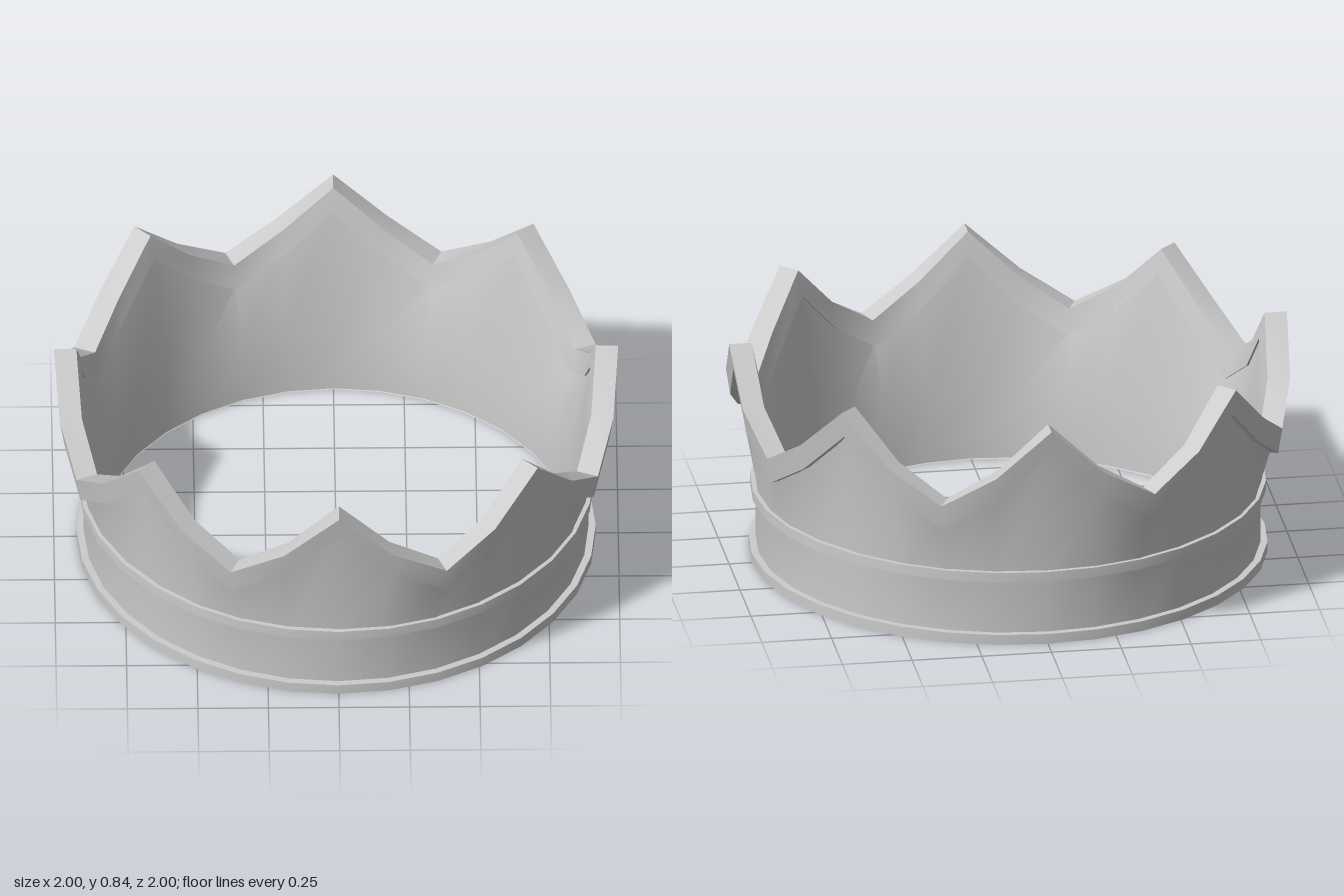
import * as THREE from 'three';
import { toCreasedNormals } from 'three/addons/utils/BufferGeometryUtils.js';

const SEGMENTS = 32; // four per crown point: peak, slope, valley, slope
const RIM_TOP = [0.84, 0.665, 0.55, 0.665];
const RIM_DEPTH = 0.095;

// Sweeps a closed profile around y; each entry is [radius, height],
// where a height may be a function of the segment index.
function ring(name, profile, material) {
  const n = profile.length;
  const positions = [];
  const index = [];
  for (let i = 0; i < SEGMENTS; i++) {
    const a = (i / SEGMENTS) * Math.PI * 2;
    for (const [r, h] of profile) {
      const y = typeof h === 'function' ? h(i) : h;
      positions.push(r * Math.sin(a), y, r * Math.cos(a));
    }
    const next = (i + 1) % SEGMENTS;
    for (let k = 0; k < n; k++) {
      const up = (k + 1) % n;
      const p = i * n + k, q = next * n + k, s = next * n + up, t = i * n + up;
      index.push(p, q, s, p, s, t);
    }
  }
  const geometry = new THREE.BufferGeometry();
  geometry.setAttribute('position', new THREE.Float32BufferAttribute(positions, 3));
  geometry.setIndex(index);
  const mesh = new THREE.Mesh(toCreasedNormals(geometry, 0.5), material);
  mesh.name = name;
  return mesh;
}

export function createModel() {
  const crown = new THREE.Group();
  crown.name = 'crown';
  const metal = new THREE.MeshStandardMaterial({ color: 0xcccccc });

  const top = (i) => RIM_TOP[i % 4];
  const under = (i) => top(i) - RIM_DEPTH;
  const tucked = (i) => under(i) + 0.01;

  // Flaring wall, cut to eight points at the top
  crown.add(ring('wall', [
    [0.895, 0.005], [0.895, 0.25], [0.957, tucked],
    [0.91, tucked], [0.845, 0.25], [0.84, 0.005],
  ], metal));

  // Thick zigzag rim along the points
  crown.add(ring('pointedRim', [
    [0.985, under], [1.0, top], [0.92, top], [0.9, under],
  ], metal));

  // Raised trim around the headband
  crown.add(ring('baseTrim', [
    [0.92, 0], [0.92, 0.037], [0.88, 0.037], [0.84, 0],
  ], metal));
  crown.add(ring('upperTrim', [
    [0.915, 0.235], [0.915, 0.272], [0.87, 0.272], [0.87, 0.235],
  ], metal));

  return crown;
}
